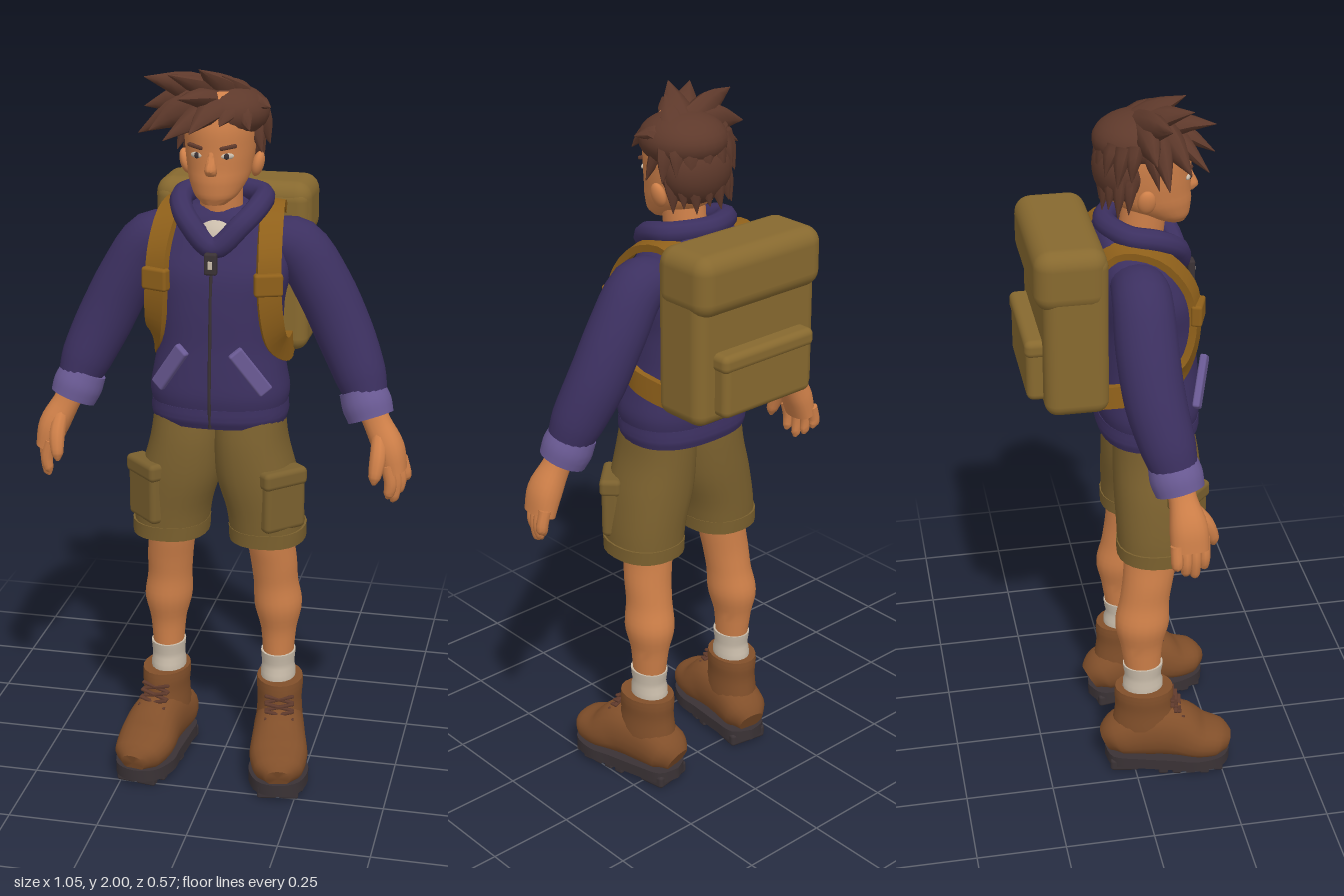
import * as THREE from 'three';
import { toCreasedNormals } from 'three/addons/utils/BufferGeometryUtils.js';
import { RoundedBoxGeometry } from 'three/addons/geometries/RoundedBoxGeometry.js';

const V = (x, y, z) => new THREE.Vector3(x, y, z);
const UP = V(0, 1, 0);

function material(name, color) {
  const m = new THREE.MeshStandardMaterial({ color });
  m.name = name;
  return m;
}

// Skin a list of point rings into a closed, capped surface
function skin(rings, crease = 0.8) {
  const n = rings[0].length, pos = [], idx = [];
  rings.forEach(r => r.forEach(p => pos.push(p.x, p.y, p.z)));
  for (let i = 0; i < rings.length - 1; i++) for (let j = 0; j < n; j++) {
    const a = i * n + j, b = i * n + (j + 1) % n;
    idx.push(a, a + n, b, b, a + n, b + n);
  }
  [0, rings.length - 1].forEach((i, end) => {
    const c = rings[i].reduce((s, p) => s.add(p), V(0, 0, 0)).divideScalar(n);
    const k = pos.push(c.x, c.y, c.z) / 3 - 1;
    for (let j = 0; j < n; j++) {
      const a = i * n + j, b = i * n + (j + 1) % n;
      end ? idx.push(k, b, a) : idx.push(k, a, b);
    }
  });
  const g = new THREE.BufferGeometry();
  g.setAttribute('position', new THREE.Float32BufferAttribute(pos, 3));
  g.setIndex(idx);
  return toCreasedNormals(g, crease);
}

// Smooth loft through rows [x, y, z, width radius, depth radius].
// Flat lofts keep rings level and run upward; others follow the path.
function loft(rows, { flat = true, power = 2, n = 20, sub = 4 } = {}) {
  const centre = new THREE.CatmullRomCurve3(rows.map(r => V(r[0], r[1], r[2])));
  const size = new THREE.CatmullRomCurve3(rows.map(r => V(r[3], r[4], 0)));
  const last = rows[rows.length - 1];
  const dir = V(last[0] - rows[0][0], last[1] - rows[0][1], last[2] - rows[0][2]).normalize();
  const ref = Math.abs(dir.x) > 0.8 ? UP : V(1, 0, 0);
  const steps = (rows.length - 1) * sub, rings = [];
  for (let i = 0; i <= steps; i++) {
    const c = centre.getPoint(i / steps), r = size.getPoint(i / steps);
    const t = flat ? UP : centre.getTangent(i / steps);
    const u = ref.clone().addScaledVector(t, -ref.dot(t)).normalize();
    const v = u.clone().cross(t);
    const ring = [];
    for (let j = 0; j < n; j++) {
      const a = j / n * Math.PI * 2, e = 2 / power;
      const f = w => Math.sign(w) * Math.pow(Math.abs(w), e);
      ring.push(c.clone().addScaledVector(u, r.x * f(Math.cos(a))).addScaledVector(v, r.y * f(Math.sin(a))));
    }
    rings.push(ring);
  }
  return skin(rings);
}

// Flat strap that lies on the body, with its face turned outward
function ribbon(points, s, w, h) {
  const curve = new THREE.CatmullRomCurve3(points), rings = [];
  for (let i = 0; i <= 32; i++) {
    const p = curve.getPoint(i / 32), t = curve.getTangent(i / 32);
    const n = V(p.x - 0.1 * s, Math.max(0, p.y - 1.5) * 2, p.z - 0.05);
    n.addScaledVector(t, -n.dot(t)).normalize();
    const v = n.clone().cross(t);
    rings.push([[1, 1], [-1, 1], [-1, -1], [1, -1]].map(([a, b]) =>
      p.clone().addScaledVector(n, a * h).addScaledVector(v, b * w)));
  }
  return skin(rings);
}

export function createModel() {
  const model = new THREE.Group();
  const hoodie = material('purple hoodie', 0x3c3060), cuff = material('light purple', 0x6a5a94);
  const skinTone = material('skin', 0xcf8049), hair = material('brown hair', 0x5e392b);
  const khaki = material('khaki shorts', 0x7a602e), canvas = material('pack canvas', 0x87692f);
  const strap = material('ochre strap', 0x8f601a), leather = material('boot leather', 0x814f2a);
  const dark = material('dark rubber', 0x3a3235), white = material('off white', 0xc9bcaa);

  const add = (name, geo, mat, parent = model) => {
    const m = new THREE.Mesh(geo, mat);
    m.name = name;
    parent.add(m);
    return m;
  };
  const box = (name, mat, w, h, d, x, y, z, r = 0.01, parent = model) => {
    const m = add(name, new RoundedBoxGeometry(w, h, d, 3, r), mat, parent);
    m.position.set(x, y, z);
    return m;
  };
  const ball = (name, mat, x, y, z, rx, ry, rz) => {
    const m = add(name, new THREE.SphereGeometry(1, 24, 16), mat);
    m.position.set(x, y, z);
    m.scale.set(rx, ry, rz);
    return m;
  };

  // Head and face
  add('head', loft([[0, 1.655, 0.135, 0.03, 0.03], [0, 1.675, 0.115, 0.056, 0.06], [0, 1.72, 0.075, 0.08, 0.105],
    [0, 1.78, 0.06, 0.09, 0.118], [0, 1.84, 0.055, 0.094, 0.124], [0, 1.9, 0.055, 0.085, 0.11],
    [0, 1.94, 0.055, 0.05, 0.07]], { n: 28 }), skinTone);
  add('neck', loft([[0, 1.5, 0.03, 0.06, 0.06], [0, 1.6, 0.045, 0.056, 0.06], [0, 1.73, 0.06, 0.058, 0.06]]), skinTone);
  add('nose', loft([[0, 1.735, 0.176, 0.013, 0.012], [0, 1.748, 0.18, 0.017, 0.019], [0, 1.78, 0.173, 0.01, 0.012],
    [0, 1.805, 0.166, 0.008, 0.008]], { n: 10 }), skinTone);
  ball('mouth', leather, 0, 1.702, 0.171, 0.022, 0.003, 0.006);
  for (const s of [-1, 1]) {
    ball('ear', skinTone, s * 0.096, 1.745, 0.045, 0.016, 0.034, 0.024).rotation.z = -s * 0.25;
    ball('eyeWhite', white, s * 0.04, 1.785, 0.164, 0.018, 0.008, 0.006).rotation.y = s * 0.4;
    ball('iris', dark, s * 0.039, 1.785, 0.169, 0.007, 0.008, 0.004).rotation.y = s * 0.4;
    const brow = box('eyebrow', hair, 0.045, 0.01, 0.012, s * 0.043, 1.808, 0.166, 0.004);
    brow.rotation.set(0, s * 0.4, s * 0.16);
  }

  // Hair: two volumes and swept locks
  ball('hairCap', hair, 0.01, 1.88, 0.045, 0.115, 0.072, 0.122);
  ball('hairBack', hair, 0.005, 1.81, 0.0, 0.104, 0.095, 0.078);
  const lock = (bx, by, bz, tx, ty, tz, r) => add('hairLock', loft([[bx, by, bz, r, r * 0.7],
    [(bx + tx) / 2, (by + ty) / 2 + 0.01, (bz + tz) / 2, r * 0.7, r * 0.5],
    [tx, ty, tz, 0.001, 0.001]], { flat: false, n: 8, sub: 3 }), hair);
  [[-0.04, 1.9, 0.08, -0.215, 1.82, 0.08, 0.05], [-0.02, 1.905, 0.05, -0.205, 1.885, 0.05, 0.055],
    [0.01, 1.9, 0.04, -0.195, 1.967, 0.09, 0.055], [0.03, 1.89, 0.03, -0.115, 1.985, 0.16, 0.055],
    [0.04, 1.88, 0, -0.035, 2, 0.155, 0.06], [0.03, 1.91, 0.09, -0.12, 1.825, 0.2, 0.052],
    [0.02, 1.91, 0.09, -0.045, 1.85, 0.23, 0.05], [0.05, 1.9, 0.08, 0.025, 1.865, 0.19, 0.045],
    [-0.02, 1.91, 0.09, -0.17, 1.84, 0.145, 0.055], [0.06, 1.88, 0, 0.015, 1.98, 0.11, 0.05],
    [0.06, 1.89, 0.03, 0.137, 1.9, 0.09, 0.045], [0.075, 1.87, 0.05, 0.112, 1.78, 0.075, 0.03],
    [-0.075, 1.87, 0.05, -0.112, 1.78, 0.075, 0.03], [0.05, 1.9, 0.1, 0.095, 1.85, 0.15, 0.038],
    [0, 1.9, 0.07, -0.075, 1.935, 0.225, 0.05]].forEach(l => lock(...l));
  for (let i = 0; i < 8; i++) {
    const a = (i + 0.5) / 8 * Math.PI, c = Math.cos(a), d = Math.sin(a);
    lock(c * 0.08, 1.8, 0.02 - d * 0.065, c * 0.1 - 0.01, 1.705 + (i % 2) * 0.015, 0.01 - d * 0.07, 0.032);
    lock(c * 0.085, 1.885, 0.03 - d * 0.07, c * 0.122, 1.79 + (i % 2) * 0.02, 0.02 - d * 0.092, 0.038);
  }

  // Hoodie body, hem, collar and trim
  add('hoodieBody', loft([[0, 1.09, 0.065, 0.18, 0.132], [0, 1.14, 0.065, 0.188, 0.141], [0, 1.2, 0.065, 0.178, 0.138],
    [0, 1.28, 0.062, 0.166, 0.134], [0, 1.38, 0.06, 0.17, 0.132], [0, 1.47, 0.05, 0.188, 0.13],
    [0, 1.55, 0.03, 0.175, 0.115], [0, 1.61, 0.025, 0.12, 0.095], [0, 1.635, 0.03, 0.08, 0.07]],
  { power: 2.4, n: 32 }), hoodie);
  add('hoodieHem', loft([[0, 1.055, 0.062, 0.18, 0.132], [0, 1.08, 0.064, 0.186, 0.14], [0, 1.11, 0.065, 0.184, 0.138]],
    { power: 2.4, n: 32 }), hoodie);
  ball('undershirt', white, 0, 1.555, 0.082, 0.075, 0.062, 0.072);
  const collar = new THREE.CatmullRomCurve3([V(0, 1.54, 0.15), V(0.07, 1.6, 0.13), V(0.105, 1.64, 0.07), V(0.1, 1.655, 0),
    V(0, 1.66, -0.048), V(-0.1, 1.655, 0), V(-0.105, 1.64, 0.07), V(-0.07, 1.6, 0.13)], true);
  add('hoodCollar', new THREE.TubeGeometry(collar, 48, 0.03, 10, true), hoodie);
  ball('hoodDrape', hoodie, 0, 1.6, -0.04, 0.12, 0.065, 0.045);
  add('zipper', new THREE.TubeGeometry(new THREE.CatmullRomCurve3([V(0, 1.06, 0.198), V(0, 1.13, 0.206), V(0, 1.2, 0.203),
    V(0, 1.35, 0.193), V(0, 1.47, 0.18), V(0, 1.53, 0.16)]), 20, 0.0045, 6), dark);
  box('zipperPull', dark, 0.034, 0.058, 0.02, 0, 1.505, 0.183, 0.006);
  box('zipperPullTag', white, 0.012, 0.022, 0.006, 0, 1.503, 0.192, 0.002);

  for (const s of [-1, 1]) {
    const slit = box('handPocketTrim', cuff, 0.042, 0.145, 0.02, s * 0.108, 1.222, 0.193, 0.006);
    slit.rotation.order = 'YXZ';
    slit.rotation.set(0, s * 0.45, s * 0.64);

    // Arm, cuff and hand
    add('sleeve', loft([[s * 0.12, 1.54, 0.015, 0.055, 0.07], [s * 0.195, 1.525, 0.015, 0.074, 0.078], [s * 0.268, 1.42, 0.015, 0.078, 0.082],
      [s * 0.328, 1.3, 0.025, 0.078, 0.08], [s * 0.378, 1.19, 0.05, 0.07, 0.072], [s * 0.4, 1.13, 0.065, 0.056, 0.06]],
    { flat: false }), hoodie);
    add('sleeveCuff', loft([[s * 0.383, 1.155, 0.058, 0.062, 0.064], [s * 0.4, 1.115, 0.067, 0.068, 0.07],
      [s * 0.413, 1.08, 0.075, 0.063, 0.065]], { flat: false }), cuff);
    add('palm', loft([[s * 0.41, 1.11, 0.07, 0.036, 0.036], [s * 0.432, 1.065, 0.078, 0.037, 0.037],
      [s * 0.466, 1.0, 0.087, 0.041, 0.05], [s * 0.484, 0.94, 0.088, 0.032, 0.05]], { flat: false, power: 2.3 }), skinTone);
    for (let i = 0; i < 4; i++) {
      const z = 0.05 + i * 0.026, x = 0.507 - i * 0.01, tip = 0.868 + [0.03, 0.005, -0.01, 0.008][i];
      add('finger', loft([[s * (x - 0.012), 0.965, z, 0.017, 0.016], [s * x, 0.915, z, 0.017, 0.0155],
        [s * (x - 0.004), tip + 0.008, z, 0.014, 0.013], [s * (x - 0.008), tip - 0.004, z, 0.005, 0.005]],
      { flat: false, n: 10 }), skinTone);
    }
    add('thumb', loft([[s * 0.44, 1.04, 0.1, 0.02, 0.022], [s * 0.443, 0.99, 0.138, 0.022, 0.022],
      [s * 0.438, 0.94, 0.158, 0.017, 0.017], [s * 0.436, 0.92, 0.161, 0.005, 0.005]], { flat: false, n: 10 }), skinTone);

    // Shorts leg with hem and cargo pocket
    add('shortsLeg', loft([[s * 0.135, 0.735, 0.075, 0.102, 0.112], [s * 0.128, 0.8, 0.076, 0.104, 0.115],
      [s * 0.105, 0.9, 0.078, 0.11, 0.12], [s * 0.088, 1, 0.076, 0.1, 0.118], [s * 0.085, 1.08, 0.07, 0.092, 0.11]],
    { power: 2.25, n: 24 }), khaki);
    add('shortsHem', loft([[s * 0.136, 0.718, 0.075, 0.105, 0.115], [s * 0.135, 0.757, 0.075, 0.106, 0.116]],
      { power: 2.25, n: 24, sub: 1 }), khaki);
    box('cargoPocket', khaki, 0.128, 0.165, 0.05, s * 0.187, 0.85, 0.147, 0.016).rotation.y = s * 0.78;
    box('cargoFlap', khaki, 0.136, 0.05, 0.06, s * 0.186, 0.918, 0.148, 0.014).rotation.y = s * 0.78;

    // Lower leg and sock
    add('leg', loft([[s * 0.16, 0.33, 0.03, 0.042, 0.05], [s * 0.16, 0.42, 0.026, 0.05, 0.06], [s * 0.158, 0.5, 0.028, 0.067, 0.077],
      [s * 0.152, 0.57, 0.036, 0.062, 0.07], [s * 0.148, 0.63, 0.045, 0.064, 0.071], [s * 0.14, 0.7, 0.054, 0.065, 0.076],
      [s * 0.135, 0.8, 0.06, 0.068, 0.08]]), skinTone);
    add('sock', loft([[s * 0.16, 0.22, 0.03, 0.05, 0.06], [s * 0.16, 0.29, 0.03, 0.049, 0.058], [s * 0.16, 0.352, 0.03, 0.049, 0.058]]), white);

    // Boot, turned outward
    const boot = new THREE.Group();
    boot.name = 'boot';
    boot.position.x = s * 0.16;
    boot.rotation.y = s * 0.17;
    model.add(boot);
    add('bootShaft', loft([[0, 0.09, 0.03, 0.055, 0.075], [0, 0.14, 0.035, 0.066, 0.094], [0, 0.21, 0.034, 0.063, 0.084],
      [0, 0.25, 0.033, 0.066, 0.085], [0, 0.272, 0.033, 0.065, 0.083]]), leather, boot);
    add('bootFoot', loft([[0, 0.08, -0.076, 0.038, 0.038], [0, 0.1, -0.04, 0.066, 0.062], [0, 0.12, 0.05, 0.07, 0.082],
      [0, 0.12, 0.12, 0.075, 0.082], [0, 0.093, 0.19, 0.081, 0.058], [0, 0.082, 0.25, 0.067, 0.046],
      [0, 0.072, 0.279, 0.034, 0.028]], { flat: false, power: 2.3 }), leather, boot);
    const outline = new THREE.Shape(new THREE.SplineCurve([[0, -0.08], [0.055, -0.055], [0.068, 0.02], [0.077, 0.12], [0.084, 0.19],
      [0.058, 0.26], [0, 0.284], [-0.058, 0.26], [-0.084, 0.19], [-0.077, 0.12], [-0.068, 0.02], [-0.055, -0.055], [0, -0.08]]
      .map(p => new THREE.Vector2(...p))).getPoints(48));
    const sole = new THREE.ExtrudeGeometry(outline, { depth: 0.034, bevelEnabled: false }).rotateX(Math.PI / 2);
    add('bootSole', toCreasedNormals(sole, 0.7), dark, boot).position.y = 0.052;
    box('bootHeel', dark, 0.118, 0.04, 0.085, 0, 0.02, -0.022, 0.01, boot);
    for (let i = 0; i < 5; i++) for (const e of [-1, 1])
      box('soleLug', dark, 0.055, 0.04, 0.028, e * (i === 4 ? 0.03 : 0.044), 0.02, 0.09 + i * 0.04, 0.006, boot);
    for (let i = 0; i < 4; i++) for (const e of [-1, 1]) {
      const lace = box('lace', hair, 0.085, 0.008, 0.012, 0, 0.175 + i * 0.019, 0.145 - i * 0.01, 0.003, boot);
      lace.rotation.z = e * 0.25;
    }

    // Shoulder strap with buckle
    add('shoulderStrap', ribbon([V(s * 0.12, 1.58, -0.1), V(s * 0.125, 1.63, -0.03), V(s * 0.138, 1.61, 0.07), V(s * 0.147, 1.53, 0.145),
      V(s * 0.15, 1.45, 0.165), V(s * 0.156, 1.35, 0.155), V(s * 0.162, 1.29, 0.125), V(s * 0.172, 1.25, 0.06),
      V(s * 0.17, 1.235, -0.02), V(s * 0.16, 1.23, -0.1)], s, 0.031, 0.01), strap);
    box('strapBuckle', strap, 0.076, 0.06, 0.03, s * 0.15, 1.455, 0.172, 0.008).rotation.y = s * 0.35;
  }

  // Backpack
  box('packBody', canvas, 0.42, 0.45, 0.17, 0, 1.427, -0.153, 0.035);
  box('packLid', canvas, 0.43, 0.165, 0.19, 0, 1.587, -0.165, 0.045);
  box('packPocket', canvas, 0.31, 0.17, 0.07, 0, 1.315, -0.245, 0.02);
  box('packPocketFlap', canvas, 0.32, 0.05, 0.076, 0, 1.382, -0.246, 0.018);
  return model;
}
